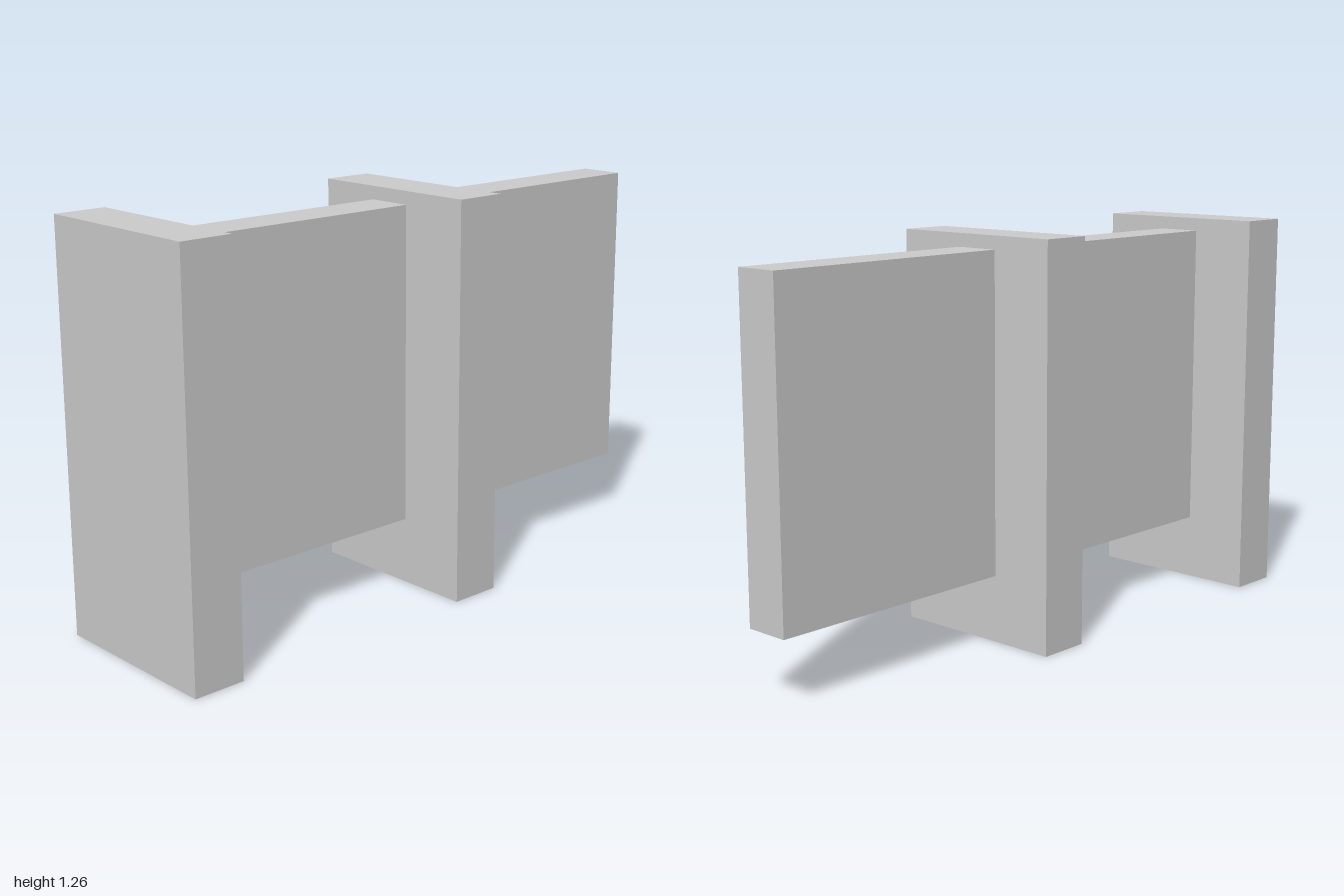
import * as THREE from 'three';

const material = new THREE.MeshStandardMaterial({ color: 0xcccccc, flatShading: true });

// Box spanning the given [min, max] ranges on each axis
function slab(name, [x0, x1], [y0, y1], [z0, z1]) {
  const mesh = new THREE.Mesh(new THREE.BoxGeometry(x1 - x0, y1 - y0, z1 - z0), material);
  mesh.position.set((x0 + x1) / 2, (y0 + y1) / 2, (z0 + z1) / 2);
  mesh.name = name;
  return mesh;
}

export function createModel() {
  const model = new THREE.Group();
  model.name = 'slabStructure';

  // Upright cross slabs, standing on the ground
  model.add(slab('frontPlate', [-0.298, 0.286], [0, 1.258], [0.834, 1]));
  model.add(slab('middlePlate', [-0.29, 0.298], [0, 1.258], [-0.163, 0.003]));

  // Raised wall running lengthwise: one panel on each side of the middle slab
  const wallX = [-0.08, 0.066];
  const wallY = [0.212, 1.216];
  model.add(slab('frontWall', wallX, wallY, [0.003, 0.834]));
  model.add(slab('rearWall', wallX, wallY, [-1, -0.163]));

  return model;
}
